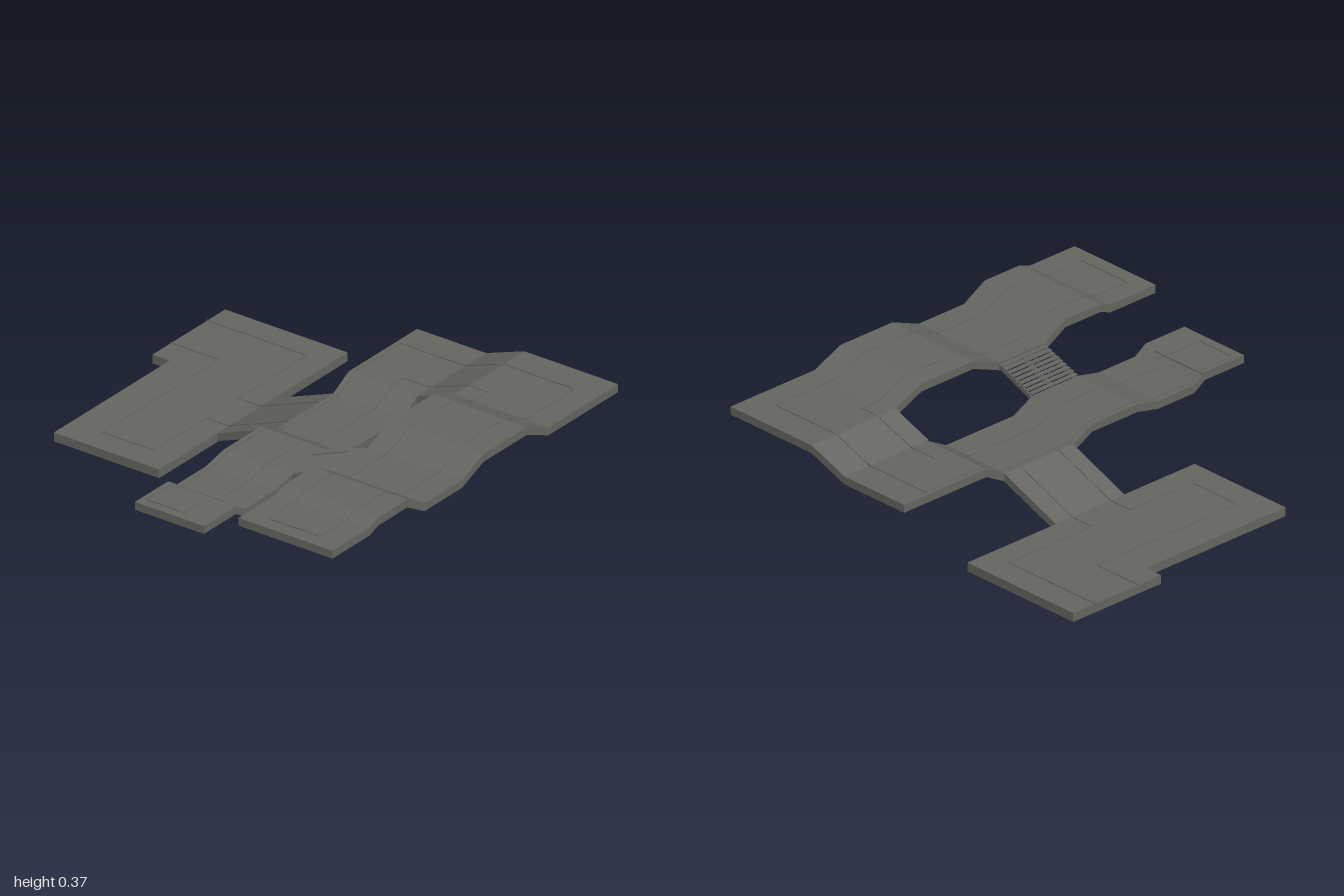
import * as THREE from 'three';
import { mergeGeometries } from 'three/addons/utils/BufferGeometryUtils.js';

const THICK = 0.037;
// Walking-surface profiles as [z, height], front to back
const MIDDLE = [[0.965, 0.235], [0.74, 0.235], [0.68, 0.195], [0.47, 0.195], [0.35, 0.222], [0.09, 0.222],
  [-0.02, 0.165], [-0.41, 0.165], [-0.52, 0.225], [-0.995, 0.225]];
const UPPER = [[0.99, 0.348], [0.73, 0.348], [0.67, 0.37], [0.47, 0.37], [0.35, 0.302], [0.09, 0.302],
  [-0.06, 0.362], [-0.36, 0.362], [-0.51, 0.297], [-0.995, 0.297]];
const RAMP = [[-0.36, 0.045], [-0.05, 0.165]];
const LINK = [[0.31, 0.225], [0.51, 0.297]];

// Height on a polyline profile
function sample(profile, t) {
  for (let i = 0; i < profile.length - 1; i++) {
    const [a, ya] = profile[i], [b, yb] = profile[i + 1];
    if ((t - a) * (t - b) <= 0) return ya + (yb - ya) * (t - a) / (b - a);
  }
  return profile[profile.length - 1][1];
}

function heightAt(x, z) {
  if (x < -0.36) return 0.045;
  if (x < -0.05) return sample(RAMP, x);
  if (x <= 0.31) return sample(MIDDLE, z);
  if (x < 0.51) return sample(LINK, x);
  return sample(UPPER, z);
}

// Extruded band of constant thickness below a profile
function band(profile, depth) {
  const top = profile.map(([u, y]) => new THREE.Vector2(u, y));
  const under = profile.map(([u, y]) => new THREE.Vector2(u, y - THICK)).reverse();
  return new THREE.ExtrudeGeometry(new THREE.Shape([...top, ...under]), { depth, bevelEnabled: false });
}
const alongZ = (profile, x0, x1) =>
  band(profile.map(([z, y]) => [-z, y]), x1 - x0).rotateY(Math.PI / 2).translate(x0, 0, 0);
const alongX = (profile, z0, z1) => band(profile, z1 - z0).translate(0, 0, z0);

// Straight bar between two points
function bar(a, b, w, h) {
  const dir = b.clone().sub(a);
  const g = new THREE.BoxGeometry(w, h, dir.length() + w * 0.5);
  const m = new THREE.Matrix4().lookAt(b, a, new THREE.Vector3(0, 1, 0));
  m.setPosition(a.clone().add(b).multiplyScalar(0.5));
  return g.applyMatrix4(m);
}

// Low seam ridge draped over the decks along [x, z] points
function seam(points) {
  const parts = [];
  for (let i = 0; i < points.length - 1; i++) {
    const [x0, z0] = points[i], [x1, z1] = points[i + 1];
    const n = Math.max(1, Math.ceil(Math.hypot(x1 - x0, z1 - z0) / 0.03));
    const at = (k) => {
      const x = x0 + (x1 - x0) * k / n, z = z0 + (z1 - z0) * k / n;
      return new THREE.Vector3(x, heightAt(x, z), z);
    };
    for (let k = 0; k < n; k++) parts.push(bar(at(k), at(k + 1), 0.005, 0.007));
  }
  return mergeGeometries(parts);
}

export function createModel() {
  const group = new THREE.Group();
  const stone = new THREE.MeshStandardMaterial({ color: 0x666661 });
  stone.name = 'grey stone';
  const add = (name, geometry) => {
    const mesh = new THREE.Mesh(geometry, stone);
    mesh.name = name;
    group.add(mesh);
  };

  // Low landing with a wider rear end
  const outline = [[-1, -0.925], [-0.36, -0.925], [-0.36, 0.385], [-0.91, 0.385], [-0.91, -0.42], [-1, -0.42]];
  const plan = new THREE.Shape(outline.map(([x, z]) => new THREE.Vector2(x, -z)));
  add('lowerPlatform', new THREE.ExtrudeGeometry(plan, { depth: 0.041, bevelEnabled: false })
    .rotateX(-Math.PI / 2).translate(0, 0.004, 0));

  // Undulating walkways and the sloped pieces joining them
  add('entryRamp', alongX(RAMP, -0.415, -0.02));
  add('middleWalkway', alongZ(MIDDLE, -0.05, 0.31));
  add('upperWalkway', alongZ(UPPER, 0.51, 1));
  add('rearLink', alongX(LINK, -0.995, -0.51));

  // Open stair between the walkways
  const treads = [], count = 9, pitch = 0.2 / count;
  for (let i = 0; i < count; i++) {
    const x = 0.31 + (i + 0.5) * pitch;
    treads.push(new THREE.BoxGeometry(pitch * 0.95, 0.005, 0.265)
      .translate(x, sample(LINK, x) - 0.002, 0.218));
  }
  add('stairTreads', mergeGeometries(treads));
  const slope = (z, lift, w, h) => bar(
    new THREE.Vector3(0.31, 0.222 + lift, z), new THREE.Vector3(0.51, 0.302 + lift, z), w, h);
  add('stairStringers', mergeGeometries([0.09, 0.218, 0.346].map((z) => slope(z, -0.018, 0.008, 0.02))));
  add('stairRail', slope(0.218, 0.034, 0.003, 0.003));

  // Seams marking the walking lane
  const seams = [
    [[-1, -0.8], [-0.48, -0.8], [-0.48, -0.32], [-0.05, -0.32]],
    [[-1, -0.55], [-0.75, -0.55], [-0.75, 0.26], [-0.48, 0.26], [-0.48, -0.1], [-0.05, -0.1]],
    [[-0.025, -0.85], [-0.025, 0.92], [0.17, 0.92], [0.17, -0.61], [0.61, -0.61], [0.61, 0.92],
      [0.88, 0.92], [0.88, -0.85], [-0.025, -0.85]],
    [[-0.05, 0.73], [0.24, 0.73]],
  ];
  add('laneSeams', mergeGeometries(seams.map(seam)));

  return group;
}
